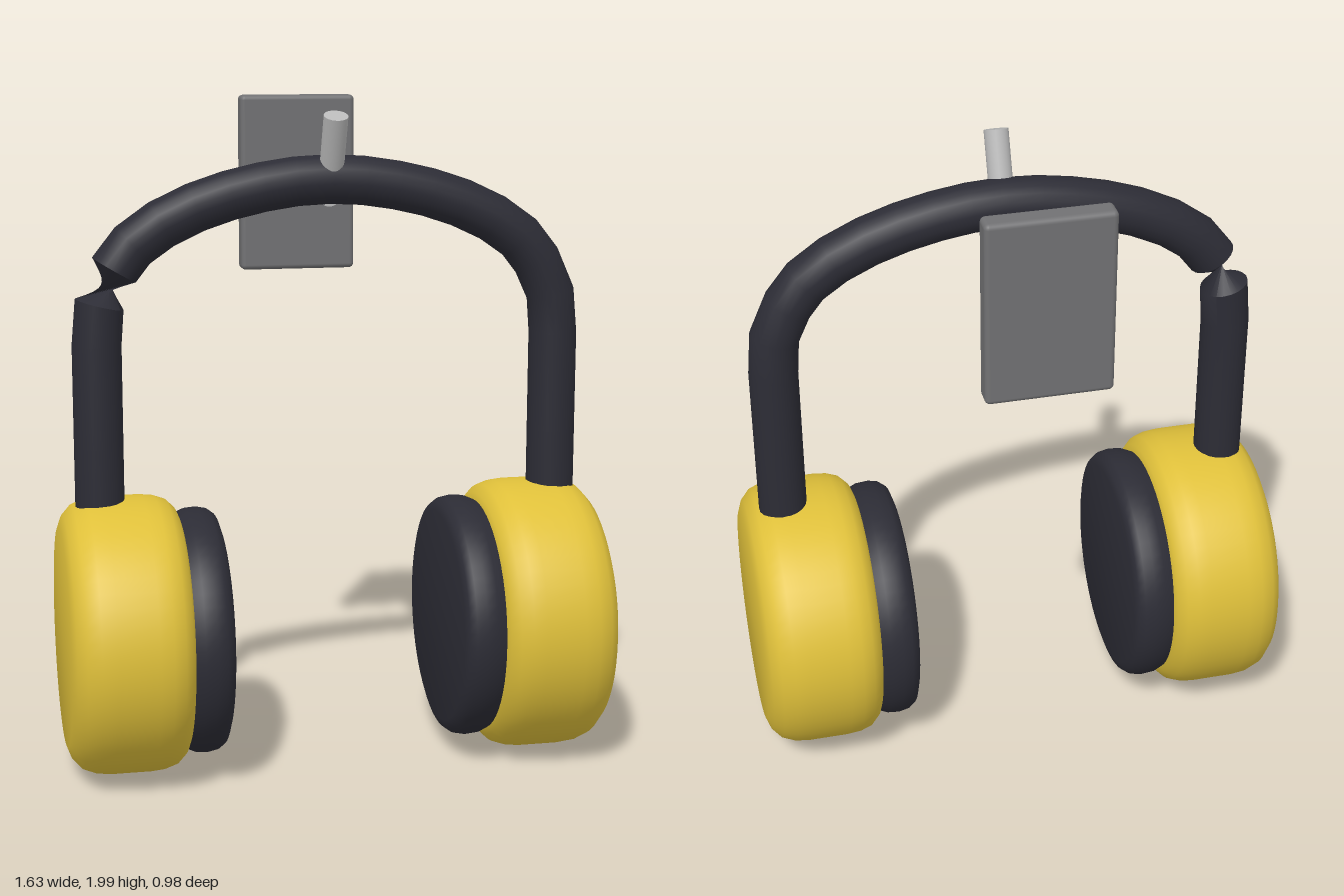
import * as THREE from 'three';
import { toCreasedNormals } from 'three/addons/utils/BufferGeometryUtils.js';
import { RoundedBoxGeometry } from 'three/addons/geometries/RoundedBoxGeometry.js';

const BAND_Z = 0.07;
const BAND_R = 0.073;

const material = (name, color) => Object.assign(new THREE.MeshStandardMaterial({ color }), { name });

// Round tube through a list of planar (x, y) centres; turn(i) spins ring i about its axis.
function sweep(centres, radius, turn, sides = 20) {
  const positions = [];
  const index = [];
  centres.forEach((c, i) => {
    const a = centres[Math.max(i - 1, 0)];
    const b = centres[Math.min(i + 1, centres.length - 1)];
    const t = b.clone().sub(a).normalize();
    for (let s = 0; s < sides; s++) {
      const angle = (s / sides) * Math.PI * 2 + turn(i);
      const u = Math.cos(angle) * radius;
      positions.push(c.x - t.y * u, c.y + t.x * u, Math.sin(angle) * radius);
      if (i === 0) continue;
      const n = (s + 1) % sides;
      const p = (i - 1) * sides;
      const q = i * sides;
      index.push(p + s, p + n, q + s, p + n, q + n, q + s);
    }
  });
  const geometry = new THREE.BufferGeometry();
  geometry.setAttribute('position', new THREE.Float32BufferAttribute(positions, 3));
  geometry.setIndex(index);
  return toCreasedNormals(geometry, 0.7);
}

// Turned disc around the x axis; the profile holds [radius, distance from centre].
function turned(profile, side) {
  const points = profile.map(([r, d]) => new THREE.Vector2(r, d));
  const geometry = new THREE.LatheGeometry(points, 56);
  geometry.rotateZ(-side * Math.PI / 2);
  return toCreasedNormals(geometry, 0.7);
}

// Cylinder between two points.
function rod(from, to, radius) {
  const dir = to.clone().sub(from);
  const geometry = new THREE.CylinderGeometry(radius, radius, dir.length(), 24);
  geometry.applyQuaternion(new THREE.Quaternion().setFromUnitVectors(
    new THREE.Vector3(0, 1, 0), dir.clone().normalize()));
  const mid = from.clone().add(to).multiplyScalar(0.5);
  return geometry.translate(mid.x, mid.y, mid.z);
}

export function createModel() {
  const group = new THREE.Group();
  const yellow = material('yellow shell', 0xdfc03a);
  const dark = material('dark padding', 0x2c2c35);
  const silver = material('silver metal', 0xb9b9b9);
  const grey = material('grey plate', 0x717173);
  dark.side = THREE.DoubleSide;

  const add = (name, geometry, mat) => {
    const mesh = new THREE.Mesh(geometry, mat);
    mesh.name = name;
    group.add(mesh);
    return mesh;
  };

  // Headband: one arch whose rings are spun half round at the right shoulder
  const half = [[0.695, 0.72], [0.695, 1.0], [0.695, 1.3], [0.685, 1.42], [0.64, 1.52],
    [0.585, 1.59], [0.5, 1.65], [0.4, 1.697], [0.3, 1.73], [0.2, 1.753], [0.1, 1.768]];
  const path = [
    ...half.map(([x, y]) => new THREE.Vector2(-x, y)),
    new THREE.Vector2(0, 1.773),
    ...half.slice().reverse().map(([x, y]) => new THREE.Vector2(x, y)),
  ];
  add('headband', sweep(path, BAND_R, (i) => (i > 3 ? Math.PI * 0.94 : 0)), dark)
    .position.z = BAND_Z;

  // Ear cups and cushions
  const cup = [[0, 0.46], [0.35, 0.46], [0.375, 0.47], [0.4, 0.495], [0.412, 0.53], [0.416, 0.57],
    [0.416, 0.69], [0.411, 0.735], [0.395, 0.775], [0.365, 0.802], [0.33, 0.815], [0, 0.815]];
  const cushion = [[0, 0.342], [0.325, 0.342], [0.35, 0.35], [0.365, 0.37], [0.371, 0.4],
    [0.368, 0.435], [0.355, 0.465], [0, 0.465]];
  for (const side of [1, -1]) {
    const label = side > 0 ? 'left' : 'right';
    for (const [part, profile, mat] of [['EarCup', cup, yellow], ['Cushion', cushion, dark]]) {
      add(label + part, turned(profile, side), mat).position.set(0, 0.422, BAND_Z);
    }
  }

  // Wall hook: plate, arm and upturned tip
  add('wallPlate', new RoundedBoxGeometry(0.365, 0.55, 0.07, 3, 0.015), grey)
    .position.set(0, 1.725, -0.455);
  const elbow = new THREE.Vector3(0, 1.728, BAND_Z);
  add('hookArm', rod(new THREE.Vector3(0, 1.728, -0.44), elbow, 0.036), silver);
  add('hookTip', rod(elbow, new THREE.Vector3(0, 1.962, 0.163), 0.036), silver);

  return group;
}
